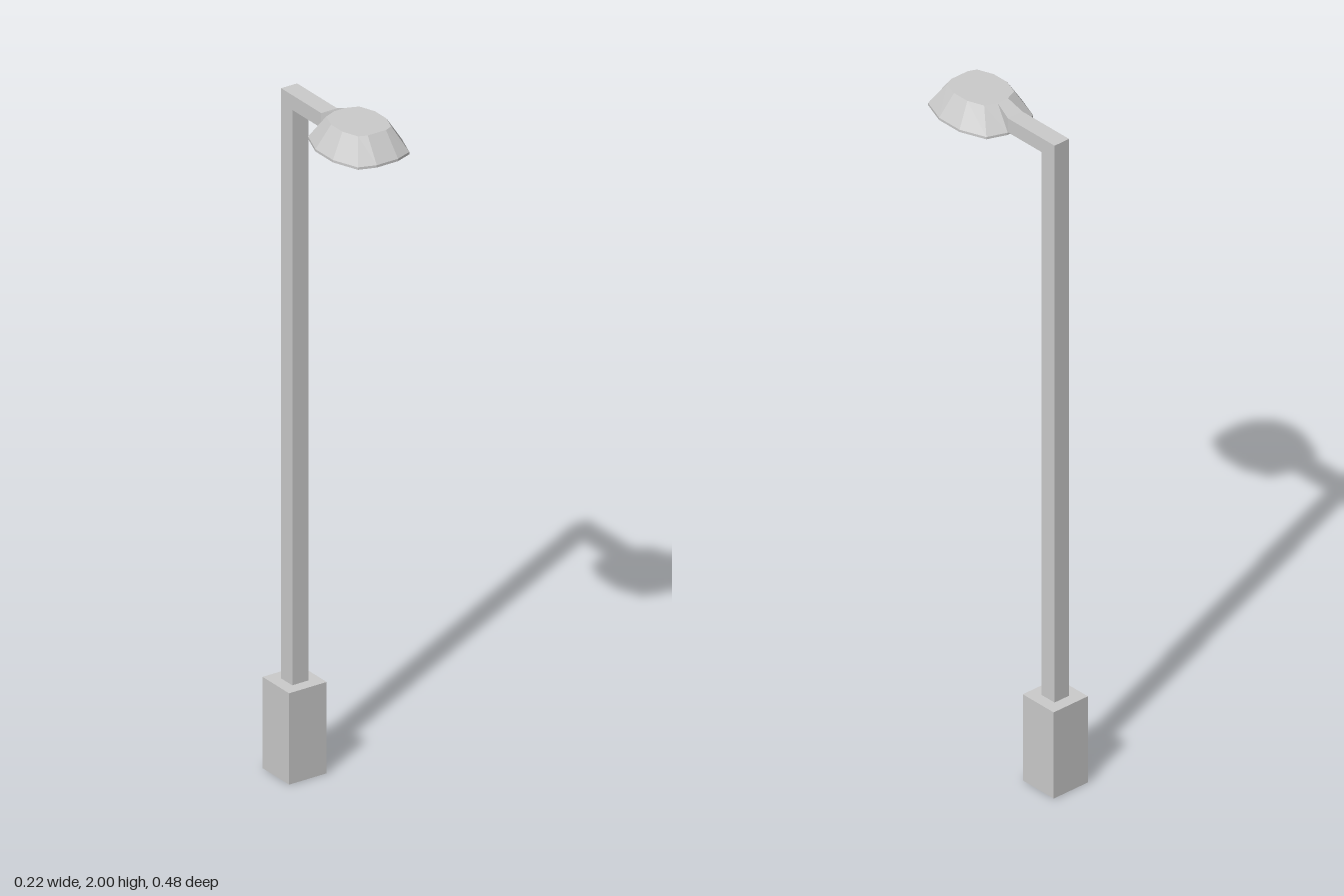
import * as THREE from 'three';

const grey = new THREE.MeshStandardMaterial({ color: 0xcccccc, flatShading: true });

function add(parent, geometry, name) {
  const mesh = new THREE.Mesh(geometry, grey);
  mesh.name = name;
  parent.add(mesh);
  return mesh;
}

// Box given by its x, y and z limits
function box(parent, name, halfWidth, y0, y1, z0, z1) {
  add(parent, new THREE.BoxGeometry(halfWidth * 2, y1 - y0, z1 - z0), name)
    .position.set(0, (y0 + y1) / 2, (z0 + z1) / 2);
}

// Closed 12-sided ring mirrored from its +x half, listed front to back
function ring(half, y, scale = 1, cz = 0.11) {
  const left = half.map(([x, z]) => [x, z]);
  const right = half.map(([x, z]) => [-x, z]).reverse();
  return [...left, ...right].map(([x, z]) => [x * scale, y, cz + (z - cz) * scale]);
}

// Skin a stack of rings from top to bottom and close both ends
function loft(rings) {
  const pos = [];
  const n = rings[0].length;
  const tri = (a, b, c) => pos.push(...a, ...b, ...c);
  for (let r = 0; r < rings.length - 1; r++) {
    for (let i = 0; i < n; i++) {
      const j = (i + 1) % n;
      const [a, b, c, d] = [rings[r][i], rings[r][j], rings[r + 1][j], rings[r + 1][i]];
      tri(a, d, c);
      tri(a, c, b);
    }
  }
  const first = rings[0], last = rings[rings.length - 1];
  for (let i = 1; i < n - 1; i++) {
    tri(first[0], first[i], first[i + 1]);
    tri(last[0], last[i + 1], last[i]);
  }
  const g = new THREE.BufferGeometry();
  g.setAttribute('position', new THREE.Float32BufferAttribute(pos, 3));
  g.computeVertexNormals();
  return g;
}

export function createModel() {
  const model = new THREE.Group();
  model.name = 'streetLamp';

  // Base, post and arm
  box(model, 'base', 0.06, 0, 0.265, -0.242, -0.121);
  box(model, 'post', 0.0255, 0.265, 1.978, -0.207, -0.156);
  box(model, 'arm', 0.0255, 1.935, 1.978, -0.156, -0.024);

  // Neck that narrows and rises from the arm to the top of the lamp head
  const neck = new THREE.BoxGeometry(1, 1, 1);
  const p = neck.attributes.position;
  for (let i = 0; i < p.count; i++) {
    const front = p.getZ(i) > 0;
    const top = front ? 2 : 1.978;
    p.setXYZ(i, Math.sign(p.getX(i)) * (front ? 0.018 : 0.0255),
      p.getY(i) > 0 ? top : 1.935, front ? 0.024 : -0.024);
  }
  neck.computeVertexNormals();
  add(model, neck, 'neck');

  // Faceted lamp head with a thin rim and a recessed light panel below
  const outer = [[0.034, 0.242], [0.082, 0.225], [0.11, 0.151], [0.11, 0.071], [0.082, -0.003], [0.026, -0.024]];
  const crown = [[0.029, 0.194], [0.053, 0.184], [0.07, 0.137], [0.07, 0.085], [0.053, 0.038], [0.018, 0.024]];
  add(model, loft([
    ring(crown, 2),
    ring(outer, 1.934),
    ring(outer, 1.927),
    ring(outer, 1.927, 0.75),
    ring(outer, 1.937, 0.72),
  ]), 'lampHead');

  return model;
}
